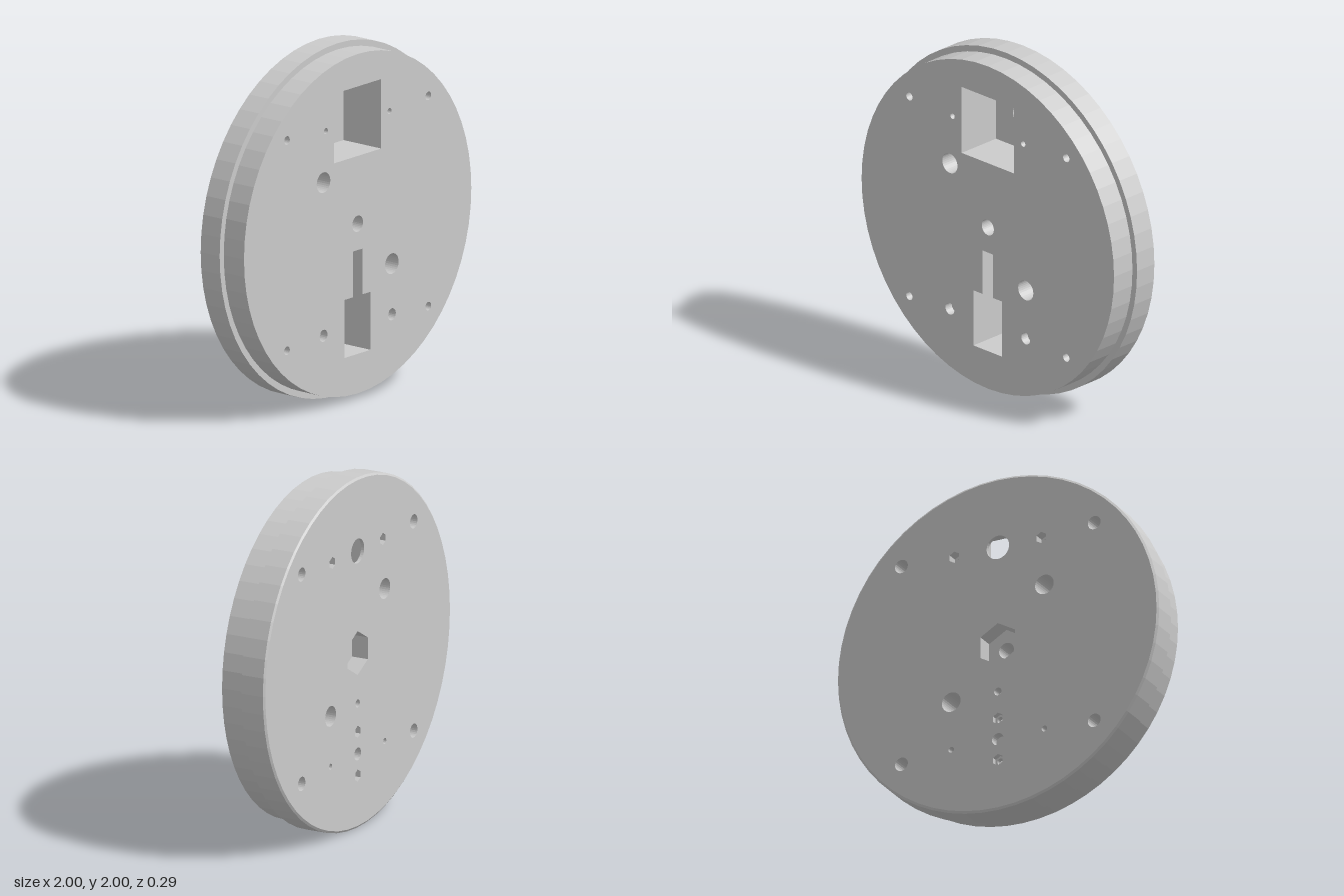
import * as THREE from 'three';
import { mergeGeometries } from 'three/addons/utils/BufferGeometryUtils.js';

const FRONT = 0.145, BACK = -0.145;
const material = new THREE.MeshStandardMaterial({ color: 0xcccccc, flatShading: true });

// Counter-clockwise outlines in the plane of the disc
function circle(x, y, r, n = 24, turn = 0) {
  return Array.from({ length: n }, (_, i) => {
    const a = turn + (i / n) * Math.PI * 2;
    return new THREE.Vector2(x + r * Math.cos(a), y + r * Math.sin(a));
  });
}
const hexagon = (x, y, r) => circle(x, y, r, 6, Math.PI / 2);
const polygon = (...pts) => pts.map(([x, y]) => new THREE.Vector2(x, y));

// Flat face at depth z with holes, facing the front or the back
function face(outline, holes, z, toBack = false) {
  const shape = new THREE.Shape(outline);
  shape.holes = holes.map((h) => new THREE.Path(h));
  const g = new THREE.ShapeGeometry(shape).toNonIndexed();
  const p = g.attributes.position;
  for (let i = 0; i < p.count; i++) p.setZ(i, z);
  if (toBack) {
    for (let i = 0; i < p.count; i += 3) {
      const x = p.getX(i), y = p.getY(i);
      p.setXY(i, p.getX(i + 1), p.getY(i + 1));
      p.setXY(i + 1, x, y);
    }
  }
  g.deleteAttribute('uv');
  g.computeVertexNormals();
  return g;
}

// Wall from outline a to outline b: outward when zA < zB, inward when zA > zB
function wall(a, zA, zB, b = a) {
  const pos = [];
  a.forEach((p, i) => {
    const j = (i + 1) % a.length, q = a[j], r = b[j], s = b[i];
    pos.push(p.x, p.y, zA, q.x, q.y, zA, r.x, r.y, zB);
    pos.push(p.x, p.y, zA, r.x, r.y, zB, s.x, s.y, zB);
  });
  const g = new THREE.BufferGeometry();
  g.setAttribute('position', new THREE.Float32BufferAttribute(pos, 3));
  g.computeVertexNormals();
  return g;
}

export function createModel() {
  const group = new THREE.Group();
  const frontHoles = [], backHoles = [];
  const add = (name, ...geometries) => {
    const mesh = new THREE.Mesh(mergeGeometries(geometries), material);
    mesh.name = name;
    group.add(mesh);
  };

  // Stepped hole: one outline in front of depth z, another behind it
  function steppedHole(name, front, back, z, backIsWider) {
    frontHoles.push(front);
    backHoles.push(back);
    add(name, wall(front, FRONT, z), wall(back, z, BACK),
      backIsWider ? face(back, [front], z, true) : face(front, [back], z));
  }

  // Plain through holes
  for (const [x, y, r] of [[-0.29, 1.295, 0.058], [0.29, 0.712, 0.058]]) {
    const c = circle(x, y, r, 32);
    frontHoles.push(c);
    backHoles.push(c);
    add('cableHole', wall(c, FRONT, BACK));
  }

  // Corner screw holes, widened from the back
  for (const x of [-0.6, 0.6]) {
    for (const y of [0.405, 1.6]) {
      steppedHole('cornerScrewHole', circle(x, y, 0.024), circle(x, y, 0.04), 0, true);
    }
  }

  for (const side of [-1, 1]) {
    // Upper screw holes with hexagonal nut recesses
    steppedHole('upperNutHole', circle(side * 0.27, 1.583, 0.017),
      hexagon(side * 0.27, 1.583, 0.034), -0.085, true);
    // Lower screw holes, countersunk from the front
    steppedHole('lowerScrewHole', circle(side * 0.29, 0.424, 0.034),
      circle(side * 0.29, 0.424, 0.017), 0.095, false);
  }

  // Central shaft hole with its large hexagonal recess
  steppedHole('centreHole', circle(0, 1, 0.046, 32), hexagon(0, 1, 0.125), -0.045, true);

  // Square pocket with a round opening in its thin floor
  steppedHole('squarePocket',
    polygon([-0.2, 1.385], [0.2, 1.385], [0.2, 1.78], [-0.2, 1.78]),
    circle(0, 1.583, 0.07, 32), -0.125, false);

  // Lower pocket with a narrow slot above it
  const floorZ = -0.085, nutZ = -0.115;
  const pocket = polygon([-0.11, 0.26], [0.11, 0.26], [0.11, 0.59], [0.04, 0.59],
    [0.04, 0.85], [-0.04, 0.85], [-0.04, 0.59], [-0.11, 0.59]);
  const slotHole = circle(0, 0.712, 0.023);
  const screws = [0.3, 0.55].map((y) => circle(0, y, 0.019));
  const nuts = [0.3, 0.55].map((y) => hexagon(0, y, 0.034));
  frontHoles.push(pocket);
  backHoles.push(slotHole, ...nuts);
  add('slottedPocket', wall(pocket, FRONT, floorZ), face(pocket, [slotHole, ...screws], floorZ),
    wall(slotHole, floorZ, BACK));
  nuts.forEach((nut, i) => add('pocketNutRecess', wall(screws[i], floorZ, nutZ),
    wall(nut, nutZ, BACK), face(nut, [screws[i]], nutZ, true)));

  // Blind hole in the back between the two nuts
  const blind = circle(0, 0.424, 0.036);
  backHoles.push(blind);
  add('blindHole', wall(blind, -0.095, BACK), face(blind, [], -0.095, true));

  // Disc body: narrower front tier, wider back tier, small chamfer at the back
  const SIDES = 60;
  const inner = circle(0, 1, 0.965, SIDES);
  const outer = circle(0, 1, 1, SIDES);
  const rim = circle(0, 1, 0.988, SIDES);
  add('frontFace', face(inner, frontHoles, FRONT));
  add('frontTier', wall(inner, 0, FRONT));
  add('stepRing', face(outer, [inner], 0));
  add('backTier', wall(outer, -0.136, 0));
  add('backChamfer', wall(rim, BACK, -0.136, outer));
  add('backFace', face(rim, backHoles, BACK, true));
  return group;
}
